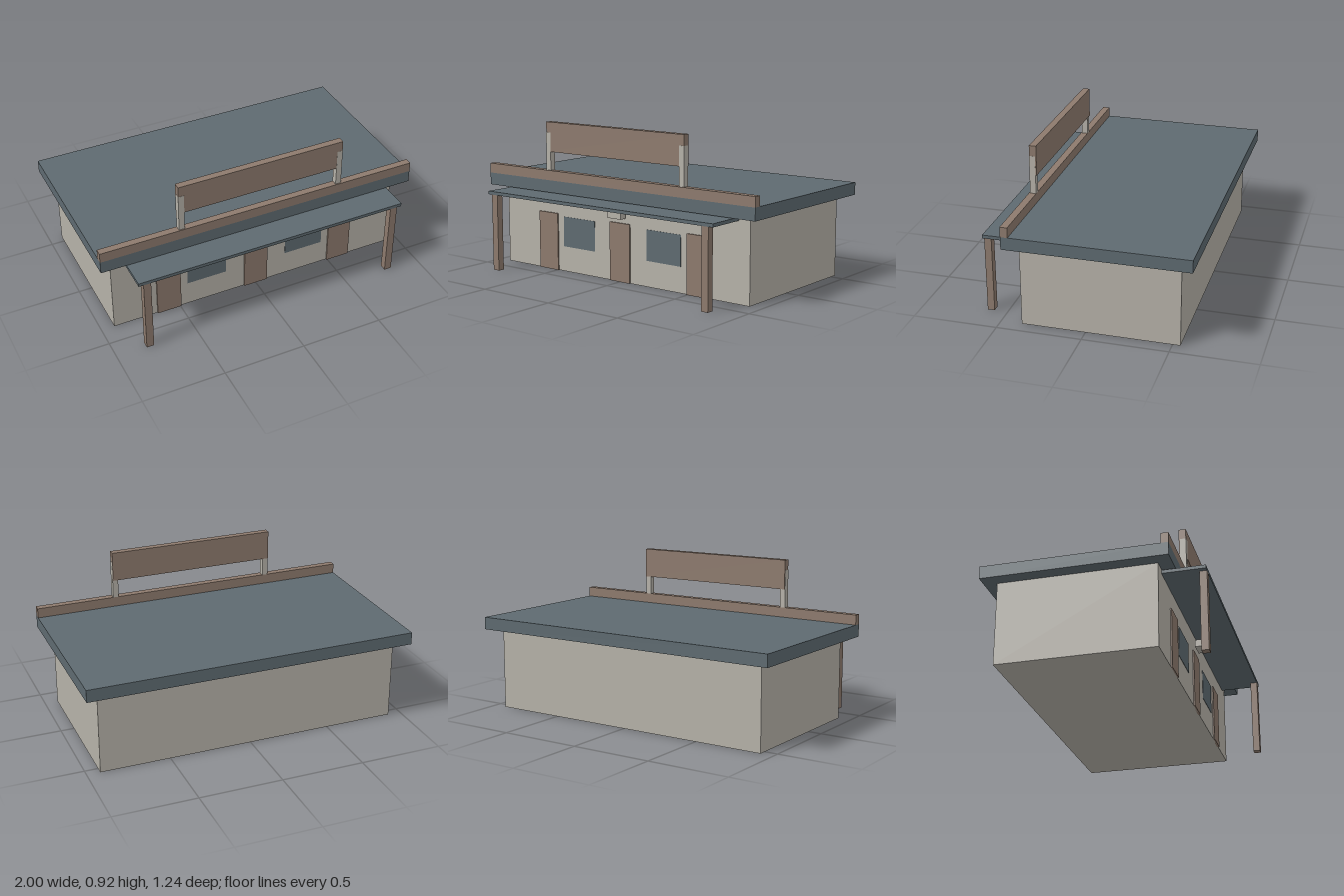
import * as THREE from 'three';

export function createModel() {
  const model = new THREE.Group();
  model.name = 'storefront';

  const wall = new THREE.MeshStandardMaterial({ color: 0xb5b1a8 });
  wall.name = 'warm grey';
  const wood = new THREE.MeshStandardMaterial({ color: 0x8d7a6d });
  wood.name = 'brown';
  const slate = new THREE.MeshStandardMaterial({ color: 0x5e6a70 });
  slate.name = 'slate';

  // Box given by its extents along each axis
  function box(name, material, [x0, x1], [y0, y1], [z0, z1]) {
    const mesh = new THREE.Mesh(new THREE.BoxGeometry(x1 - x0, y1 - y0, z1 - z0), material);
    mesh.position.set((x0 + x1) / 2, (y0 + y1) / 2, (z0 + z1) / 2);
    mesh.name = name;
    model.add(mesh);
  }

  // Building and overhanging flat roof
  box('walls', wall, [-0.92, 0.92], [0, 0.495], [-0.545, 0.376]);
  box('roof', slate, [-1, 1], [0.495, 0.57], [-0.622, 0.453]);
  box('parapet', wood, [-1, 1], [0.57, 0.63], [0.41, 0.453]);

  // Porch canopy and lamp
  box('canopy', slate, [-0.845, 0.845], [0.47, 0.49], [0.376, 0.622]);
  box('porchLamp', wall, [-0.05, 0.05], [0.388, 0.432], [0.387, 0.432]);

  // Sign board above the parapet
  box('signBoard', wood, [-0.52, 0.52], [0.743, 0.923], [0.403, 0.445]);

  // Doors
  for (const x of [-0.57, 0, 0.57]) {
    box('door', wood, [x - 0.076, x + 0.076], [0, 0.355], [0.37, 0.384]);
  }

  // Mirrored parts
  for (const s of [-1, 1]) {
    const span = (a, b) => (s > 0 ? [a, b] : [-b, -a]);
    box('porchPost', wood, span(0.771, 0.816), [0, 0.47], [0.58, 0.622]);
    box('window', slate, span(0.198, 0.448), [0.155, 0.34], [0.372, 0.378]);
    box('signPost', wall, span(0.486, 0.521), [0.63, 0.86], [0.41, 0.446]);
  }
  return model;
}
